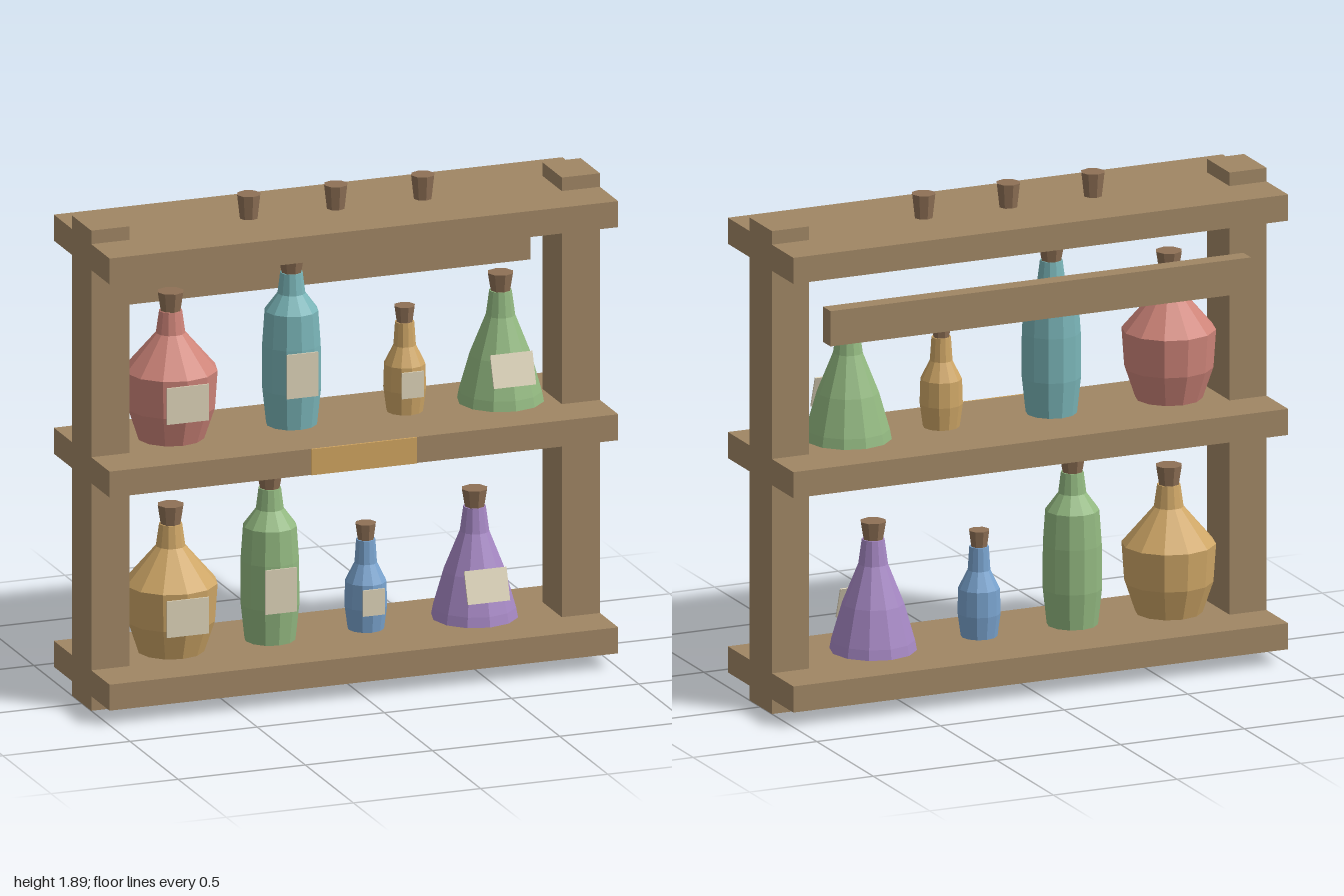
import * as THREE from 'three';

const mat = (name, color, flat = false) => {
  const m = new THREE.MeshStandardMaterial({ color, flatShading: flat });
  m.name = name;
  return m;
};
const M = {
  wood: mat('wood', 0xa08664),
  cork: mat('cork', 0x8f7156, true),
  label: mat('paper label', 0xdcd2b8),
  brass: mat('brass', 0xd0a45f),
  red: mat('red glass', 0xcf857a, true),
  teal: mat('teal glass', 0x7ab5b8, true),
  amber: mat('amber glass', 0xcfa767, true),
  green: mat('green glass', 0x93b981, true),
  purple: mat('purple glass', 0xa688c4, true),
  blue: mat('blue glass', 0x7aa4cf, true),
};

const Z = -0.003; // centre line of the rack

// Bottle shapes: outline [radius, height], cork [bottom, top, radius],
// label [width, height, centre y, centre z, backward tilt]
const SHAPES = {
  round: {
    outline: [[0, 0], [0.125, 0.012], [0.165, 0.13], [0.175, 0.275], [0.055, 0.415], [0.043, 0.5]],
    cork: [0.493, 0.573, 0.051],
    label: [0.166, 0.14, 0.188, 0.178, 0],
  },
  tall: {
    outline: [[0, 0], [0.095, 0.012], [0.11, 0.15], [0.109, 0.32], [0.1, 0.45], [0.052, 0.515], [0.042, 0.595]],
    cork: [0.587, 0.655, 0.05],
    label: [0.123, 0.17, 0.228, 0.114, 0],
  },
  small: {
    outline: [[0, 0], [0.068, 0.012], [0.08, 0.1], [0.077, 0.195], [0.042, 0.265], [0.036, 0.355]],
    cork: [0.343, 0.417, 0.04],
    label: [0.085, 0.1, 0.133, 0.083, 0],
  },
  cone: {
    outline: [[0, 0], [0.162, 0.012], [0.155, 0.05], [0.115, 0.19], [0.055, 0.34], [0.042, 0.435]],
    cork: [0.428, 0.503, 0.05],
    label: [0.166, 0.125, 0.163, 0.129, -0.32],
  },
};

function add(parent, name, geometry, material, x, y, z) {
  const mesh = new THREE.Mesh(geometry, material);
  mesh.name = name;
  mesh.position.set(x, y, z);
  parent.add(mesh);
  return mesh;
}

function box(parent, name, material, w, h, d, x, y, z) {
  return add(parent, name, new THREE.BoxGeometry(w, h, d), material, x, y, z);
}

// Tapered stopper standing between two heights
function cork(parent, name, x, z, y0, y1, r) {
  const geometry = new THREE.CylinderGeometry(r, r * 0.74, y1 - y0, 8);
  return add(parent, name, geometry, M.cork, x, (y0 + y1) / 2, z);
}

function bottle(name, shape, glass, x, y) {
  const { outline, cork: c, label: l } = SHAPES[shape];
  const g = new THREE.Group();
  g.name = name;
  const points = outline.map(([r, h]) => new THREE.Vector2(r, h));
  points.push(new THREE.Vector2(0, points[points.length - 1].y));
  add(g, 'glass', new THREE.LatheGeometry(points, 12), glass, 0, 0, 0);
  cork(g, 'stopper', 0, 0, ...c);
  box(g, 'label', M.label, l[0], l[1], 0.006, 0, l[2], l[3]).rotation.x = l[4];
  g.position.set(x, y, Z);
  return g;
}

export function createModel() {
  const model = new THREE.Group();
  model.name = 'bottleRack';

  // Frame
  for (const side of [-1, 1]) {
    box(model, side > 0 ? 'leftPost' : 'rightPost', M.wood, 0.15, 1.85, 0.2, side * 0.925, 0.925, Z);
  }
  [['bottomShelf', 0.106], ['middleShelf', 0.927], ['topShelf', 1.748]].forEach(([name, y]) =>
    box(model, name, M.wood, 2, 0.1, 0.58, 0, y, Z));
  box(model, 'backRail', M.wood, 1.7, 0.135, 0.067, 0, 1.508, Z - 0.2565);
  box(model, 'frontPlate', M.brass, 0.415, 0.1, 0.008, 0, 0.927, 0.289);

  // Loose stoppers on the top shelf
  for (const i of [-1, 0, 1]) cork(model, 'looseStopper', i * 0.342, Z - 0.002, 1.79, 1.89, 0.046);

  // Bottles on the middle and bottom shelves
  model.add(
    bottle('redBottle', 'round', M.red, -0.65, 0.977),
    bottle('tealBottle', 'tall', M.teal, -0.175, 0.977),
    bottle('smallAmberBottle', 'small', M.amber, 0.27, 0.977),
    bottle('greenFlask', 'cone', M.green, 0.647, 0.977),
    bottle('amberBottle', 'round', M.amber, -0.65, 0.156),
    bottle('greenBottle', 'tall', M.green, -0.26, 0.156),
    bottle('smallBlueBottle', 'small', M.blue, 0.117, 0.156),
    bottle('purpleFlask', 'cone', M.purple, 0.545, 0.156),
  );
  return model;
}
